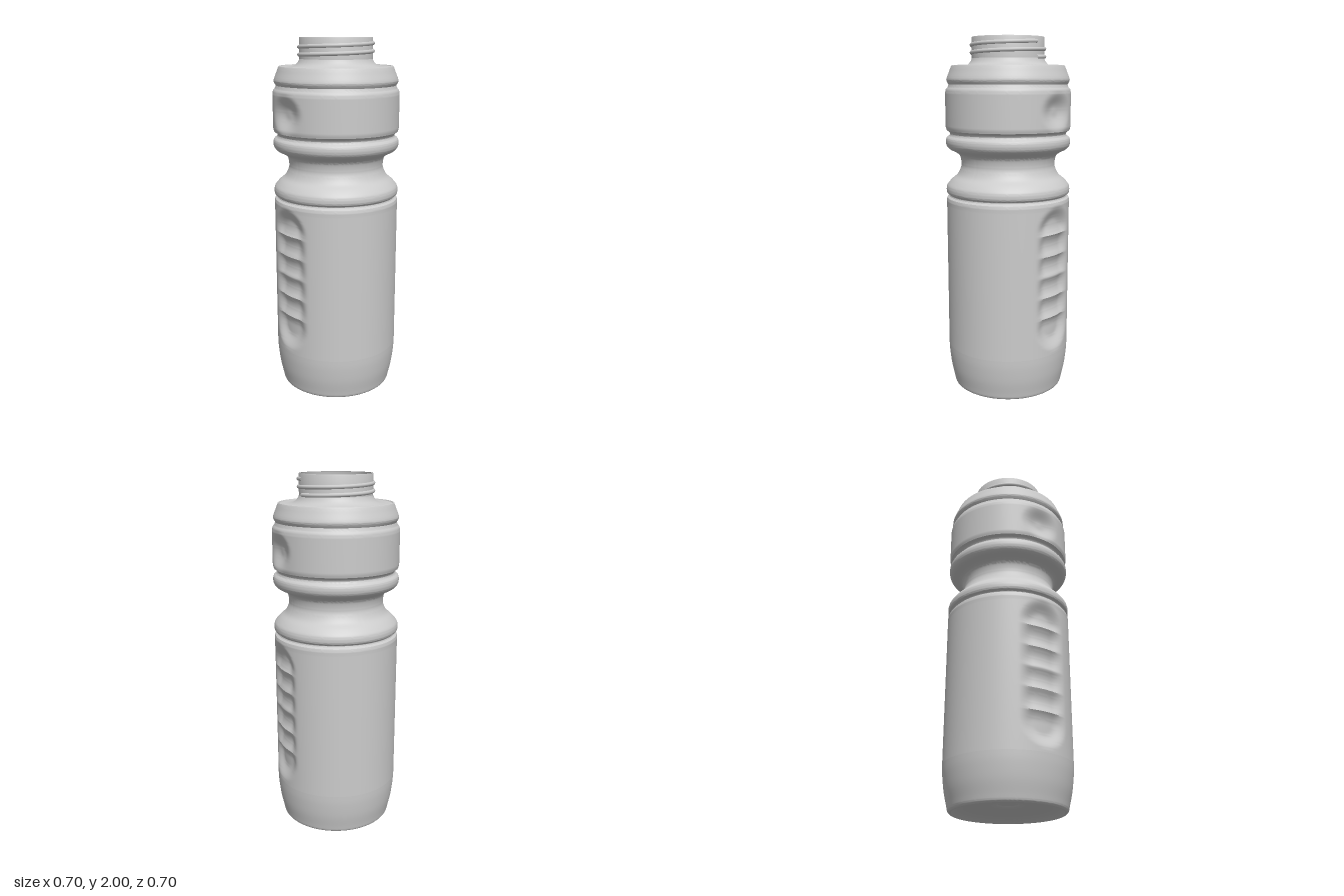
import * as THREE from 'three';
import { toCreasedNormals } from 'three/addons/utils/BufferGeometryUtils.js';

const material = new THREE.MeshStandardMaterial({ color: 0xcccccc, side: THREE.DoubleSide });
const SEGMENTS = 192;
const clamp = THREE.MathUtils.clamp;
const smooth = THREE.MathUtils.smoothstep;

// depth of the finger grips pressed into both sides (+x and -x)
function gripDepth(y, z) {
  // oval thumb dent in the upper band
  const thumb = Math.hypot(z / 0.135, (y - 1.6) / 0.115);
  let depth = 0.034 * (1 - smooth(thumb, 0.15, 1));
  // long rounded panel of six scallops on the body
  const fromAxis = Math.hypot(z, y - clamp(y, 0.41, 0.95));
  const panel = 1 - smooth(fromAxis, 0.06, 0.15);
  const phase = clamp((y - 0.935) / 0.118, -4.5, 0.5);
  const scallop = Math.pow(Math.abs(Math.sin(Math.PI * phase)), 0.8);
  depth += panel * (0.013 + 0.02 * scallop);
  return depth;
}

// cut a profile into short steps so it can be dented
function subdivide(points, step) {
  const out = [points[0]];
  for (let i = 1; i < points.length; i++) {
    const a = points[i - 1], b = points[i];
    const n = Math.max(1, Math.round(a.distanceTo(b) / step));
    for (let k = 1; k <= n; k++) out.push(a.clone().lerp(b, k / n));
  }
  return out;
}

// turned section; optional spline smoothing of the profile and side grips
function turned(name, profile, { curve = 0, grips = false } = {}) {
  let points = profile.map(([r, y]) => new THREE.Vector2(r, y));
  if (curve) points = new THREE.SplineCurve(points).getPoints(curve);
  if (grips) points = subdivide(points, 0.008);
  let geometry = new THREE.LatheGeometry(points, SEGMENTS);
  if (grips) {
    const p = geometry.attributes.position;
    for (let i = 0; i < p.count; i++) {
      const x = p.getX(i), y = p.getY(i), z = p.getZ(i);
      const depth = gripDepth(y, z);
      if (Math.abs(x) > 0.2) p.setX(i, x - Math.sign(x) * depth);
    }
  }
  geometry = toCreasedNormals(geometry, 0.65);
  const mesh = new THREE.Mesh(geometry, material);
  mesh.name = name;
  return mesh;
}

// screw thread: two turns around the neck, starting on the +x side
function thread() {
  const points = [];
  const turns = 2, steps = 64;
  for (let i = 0; i <= steps; i++) {
    const t = i / steps, angle = t * turns * Math.PI * 2;
    points.push(new THREE.Vector3(
      0.201 * Math.cos(angle), 1.89 + 0.083 * t, -0.201 * Math.sin(angle)));
  }
  const path = new THREE.CatmullRomCurve3(points);
  const mesh = new THREE.Mesh(new THREE.TubeGeometry(path, 240, 0.011, 8), material);
  mesh.name = 'neckThread';
  return mesh;
}

export function createModel() {
  const bottle = new THREE.Group();
  bottle.name = 'sportsBottle';

  bottle.add(
    // hollow underside with a small raised centre disc
    turned('bottom', [
      [0, 0.05], [0.055, 0.05], [0.065, 0.042], [0.12, 0.04], [0.2, 0.033],
      [0.26, 0.022], [0.285, 0.008], [0.295, 0], [0.305, 0],
    ]),
    turned('base', [
      [0.305, 0], [0.315, 0.01], [0.322, 0.04], [0.337, 0.11], [0.347, 0.19], [0.35, 0.245],
    ], { curve: 24 }),
    turned('body', [
      [0.35, 0.245], [0.35, 1.08], [0.351, 1.1], [0.347, 1.114], [0.335, 1.122], [0.333, 1.128],
    ], { grips: true }),
    // narrow waist between two rounded beads
    turned('waist', [
      [0.333, 1.128], [0.336, 1.134], [0.348, 1.142], [0.351, 1.16], [0.346, 1.185],
      [0.32, 1.215], [0.288, 1.243], [0.269, 1.28], [0.265, 1.31], [0.273, 1.35],
      [0.295, 1.37], [0.33, 1.388], [0.347, 1.408], [0.351, 1.432], [0.346, 1.452],
      [0.33, 1.464], [0.327, 1.474],
    ], { curve: 64 }),
    turned('upperBand', [
      [0.327, 1.474], [0.331, 1.484], [0.346, 1.494], [0.351, 1.512], [0.351, 1.7],
      [0.347, 1.718], [0.336, 1.731], [0.332, 1.745],
    ], { grips: true }),
    turned('shoulderBead', [
      [0.332, 1.745], [0.338, 1.755], [0.343, 1.768], [0.339, 1.785], [0.329, 1.81], [0.319, 1.836],
      [0.314, 1.846],
    ], { curve: 24 }),
    turned('shoulder', [
      [0.314, 1.846], [0.308, 1.848], [0.304, 1.843], [0.28, 1.842], [0.24, 1.842],
      [0.22, 1.855], [0.207, 1.87], [0.201, 1.885],
    ]),
    turned('neck', [[0.201, 1.885], [0.201, 1.995], [0.199, 2]]),
    thread(),
  );
  return bottle;
}
